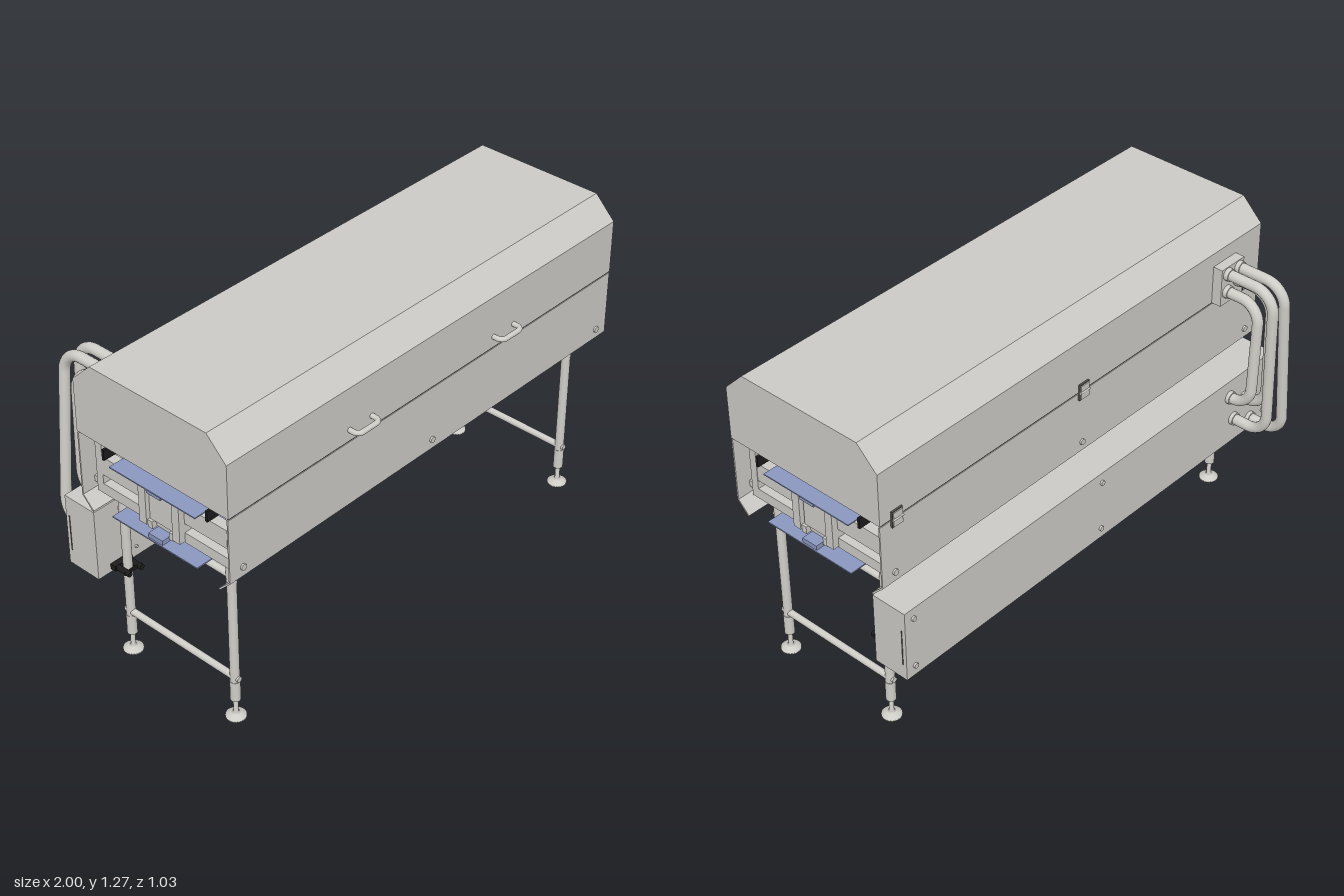
import * as THREE from 'three';

const mat = (name, color, side = THREE.FrontSide) => {
  const m = new THREE.MeshStandardMaterial({ color, side });
  m.name = name;
  return m;
};

export function createModel() {
  const root = new THREE.Group();
  root.name = 'tunnelConveyor';
  const grey = mat('sheetGrey', 0xcbcac6);
  const steel = mat('tubeSteel', 0xcfcdc7);
  const blue = mat('beltBlue', 0x8b97c0);
  const black = mat('black', 0x1c1c1c);
  const dark = mat('darkGap', 0x55544f);

  const add = (name, geo, material, parent = root) => {
    const m = new THREE.Mesh(geo, material);
    m.name = name;
    parent.add(m);
    return m;
  };
  // box given by its limits on each axis
  const box = (name, x0, x1, y0, y1, z0, z1, material = grey) => {
    const m = add(name, new THREE.BoxGeometry(x1 - x0, y1 - y0, Math.abs(z1 - z0)), material);
    m.position.set((x0 + x1) / 2, (y0 + y1) / 2, (z0 + z1) / 2);
    return m;
  };
  // round bar between two points
  const rod = (name, a, b, r, material = steel, sides = 20) => {
    const p = new THREE.Vector3(...a), q = new THREE.Vector3(...b);
    const m = add(name, new THREE.CylinderGeometry(r, r, p.distanceTo(q), sides), material);
    m.position.copy(p).add(q).multiplyScalar(0.5);
    m.quaternion.setFromUnitVectors(new THREE.Vector3(0, 1, 0), q.sub(p).normalize());
    return m;
  };
  // [z, y] outline extruded along x
  const prism = (name, pts, x0, x1, material = grey) => {
    const shape = new THREE.Shape(pts.map(([z, y]) => new THREE.Vector2(-z, y)));
    const geo = new THREE.ExtrudeGeometry(shape, { depth: x1 - x0, bevelEnabled: false });
    geo.rotateY(Math.PI / 2).translate(x0, 0, 0);
    return add(name, geo, material);
  };
  // rounded tube path through corner points
  const pipe = (name, pts, bend, r) => {
    const v = pts.map(p => new THREE.Vector3(...p));
    const path = new THREE.CurvePath();
    let from = v[0];
    for (let i = 1; i < v.length - 1; i++) {
      const a = v[i].clone().add(v[i - 1].clone().sub(v[i]).setLength(bend));
      const b = v[i].clone().add(v[i + 1].clone().sub(v[i]).setLength(bend));
      const k = 0.55;
      path.add(new THREE.LineCurve3(from, a));
      path.add(new THREE.CubicBezierCurve3(a, a.clone().lerp(v[i], k), b.clone().lerp(v[i], k), b));
      from = b;
    }
    path.add(new THREE.LineCurve3(from, v[v.length - 1]));
    return add(name, new THREE.TubeGeometry(path, 90, r, 16), steel);
  };

  // hood shell, open below, with end plates
  const outer = [[0.465, 0.972], [0.465, 1.185], [0.38, 1.27], [-0.155, 1.27], [-0.242, 1.185], [-0.242, 0.972]];
  const inner = [[-0.236, 0.972], [-0.236, 1.182], [-0.152, 1.264], [0.377, 1.264], [0.459, 1.182], [0.459, 0.972]];
  prism('hoodShell', [...outer, ...inner], -0.994, 0.994);
  for (const s of [-1, 1]) prism('hoodEnd', outer, s * 0.997 - 0.003, s * 0.997 + 0.003);

  // side panels with the lower edge bent inwards, mirrored about the belt centre
  const mid = 0.1115;
  for (const s of [1, -1]) {
    const m = ([z, y]) => [mid + s * (z - mid), y];
    prism('sidePanel', [[0.464, 0.966], [0.464, 0.706], [0.415, 0.656], [0.41, 0.661], [0.458, 0.709], [0.458, 0.966]].map(m), -1, 1);
    prism('panelSeam', [[0.461, 0.974], [0.461, 0.964], [0.455, 0.964], [0.455, 0.974]].map(m), -0.993, 0.993, dark);
    for (const x of [-0.94, 0, 0.94])
      rod('panelScrew', [x, 0.745, m([0.46, 0])[0]], [x, 0.745, m([0.471, 0])[0]], 0.012);
  }

  // handles on the hood front
  for (const x of [-0.375, 0.375])
    pipe('handle', [[x - 0.055, 1.017, 0.46], [x - 0.055, 1.017, 0.505], [x + 0.055, 1.017, 0.505], [x + 0.055, 1.017, 0.46]], 0.022, 0.01);

  // hinges on the hood back
  for (const x of [-0.925, 0, 0.925]) {
    box('hingeBack', x - 0.025, x + 0.025, 0.94, 1.005, -0.249, -0.24, dark);
    box('hingeLeaf', x - 0.021, x + 0.021, 0.977, 1.001, -0.253, -0.24);
    box('hingeLeaf', x - 0.021, x + 0.021, 0.944, 0.968, -0.253, -0.24);
    rod('hingePin', [x - 0.024, 0.972, -0.251], [x + 0.024, 0.972, -0.251], 0.005);
  }

  // electrical cabinet
  box('cabinet', -1, 1, 0.357, 0.652, -0.337, -0.19);
  for (const s of [-1, 1]) {
    box('cabinetEndSlot', s * 1 - 0.002, s * 1 + 0.002, 0.42, 0.57, -0.322, -0.318, dark);
    for (const y of [0.4, 0.61]) {
      rod('cabinetScrew', [s * 0.96, y, -0.33], [s * 0.96, y, -0.345], 0.01);
      rod('cabinetScrew', [s * 0.82, y, -0.2], [s * 0.82, y, -0.183], 0.006);
    }
    for (const z of [-0.215, -0.3]) rod('cabinetFoot', [s * 0.975, 0.36, z], [s * 0.975, 0.348, z], 0.008);
    for (const y of [0.42, 0.47, 0.53, 0.59]) rod('cabinetEndScrew', [s * 0.99, y, -0.215], [s * 1, y, -0.215], 0.006);
  }
  for (const y of [0.4, 0.61]) rod('cabinetScrew', [0, y, -0.33], [0, y, -0.345], 0.01);

  // cable pipes from hood to cabinet: top x, bottom x, top y, bottom y, reach z
  box('pipeMount', -0.852, -0.722, 0.972, 1.128, -0.282, -0.242);
  const runs = [
    [-0.82, -0.875, 1.1, 0.41, -0.492, 0.085],
    [-0.755, -0.77, 1.1, 0.465, -0.492, 0.085],
    [-0.82, -0.83, 1.045, 0.53, -0.44, 0.09],
    [-0.755, -0.74, 1.025, 0.58, -0.432, 0.08],
  ];
  for (const [xt, xb, yt, yb, z, bend] of runs) {
    pipe('cablePipe', [[xt, yt, -0.27], [xt, yt, z], [xb, yb, z], [xb, yb, -0.33]], bend, 0.021);
    rod('pipeCollar', [xt, yt, -0.275], [xt, yt, -0.3], 0.025);
    rod('pipeCollar', [xb, yb, -0.33], [xb, yb, -0.352], 0.026);
  }

  // leg frames, one at each end
  const foot = [[0, 0], [0.038, 0], [0.038, 0.008], [0.018, 0.018], [0.009, 0.022], [0.009, 0.09], [0, 0.09]]
    .map(p => new THREE.Vector2(...p));
  for (const x of [-0.9, 0.9]) {
    for (const z of [0.368, -0.147]) {
      add('foot', new THREE.LatheGeometry(foot, 24), steel).position.set(x, 0, z);
      rod('legSleeve', [x, 0.08, z], [x, 0.165, z], 0.019);
      rod('leg', [x, 0.16, z], [x, 0.61, z], 0.0175);
      rod('legTop', [x, 0.6, z], [x, 0.72, z], 0.019);
      rod('legNeck', [x, 0.71, z], [x, 0.86, z], 0.015);
      for (const y of [0.18, 0.63]) rod('legBolt', [x, y, z - 0.023], [x, y, z + 0.023], 0.011);
    }
    for (const y of [0.18, 0.63]) rod('legCrossbar', [x, y, -0.147], [x, y, 0.368], 0.0135);
    // clamp holding the cabinet to the rear leg
    box('clampPlate', x - 0.042, x + 0.042, 0.371, 0.393, -0.19, -0.165, black);
    for (const s of [-1, 1]) rod('clampRod', [x + s * 0.028, 0.382, -0.19], [x + s * 0.028, 0.382, -0.105], 0.011, black, 10);
    box('clampBar', x - 0.04, x + 0.04, 0.376, 0.388, -0.125, -0.118, black);
  }

  // conveyor: belt runs, their tracks and the central beam
  box('beltTop', -1, 1, 0.893, 0.898, -0.092, 0.312, blue);
  box('beltReturn', -1, 1, 0.685, 0.69, -0.092, 0.312, blue);
  box('beltTrackTop', -0.995, 0.995, 0.876, 0.893, 0.078, 0.145, blue);
  box('beltTrackBottom', -0.995, 0.995, 0.69, 0.708, 0.078, 0.145, blue);
  box('centreBeam', -0.96, 0.96, 0.735, 0.865, 0.052, 0.168);
  for (const s of [1, -1]) {
    const z = d => mid + s * d;
    box('beamFlange', -0.97, 0.97, 0.865, 0.878, z(0.04), z(0.065));
    box('beamFlange', -0.97, 0.97, 0.705, 0.735, z(0.04), z(0.062));
    // guide rails beside the belt
    box('guideRail', -0.99, 0.99, 0.899, 0.942, z(0.238), z(0.248), black);
    for (const x of [-0.93, 0, 0.93]) {
      box('endPlate', x - 0.045, x + 0.045, 0.715, 0.876, z(0.062), z(0.096));
      box('panelPost', x - 0.02, x + 0.02, 0.71, 0.972, z(0.296), z(0.327));
      rod('guideRod', [x, 0.922, z(0.24)], [x, 0.922, z(0.3)], 0.011);
      rod('guideNut', [x, 0.922, z(0.282)], [x, 0.922, z(0.296)], 0.017);
      box('panelClip', x - 0.015, x + 0.015, 0.735, 0.76, z(0.325), z(0.35));
    }
  }
  for (const x of [-0.93, 0, 0.93]) {
    box('upperCrossbeam', x - 0.02, x + 0.02, 0.79, 0.866, -0.19, 0.405);
    box('lowerCrossbeam', x - 0.02, x + 0.02, 0.71, 0.752, -0.215, 0.438);
  }
  return root;
}
